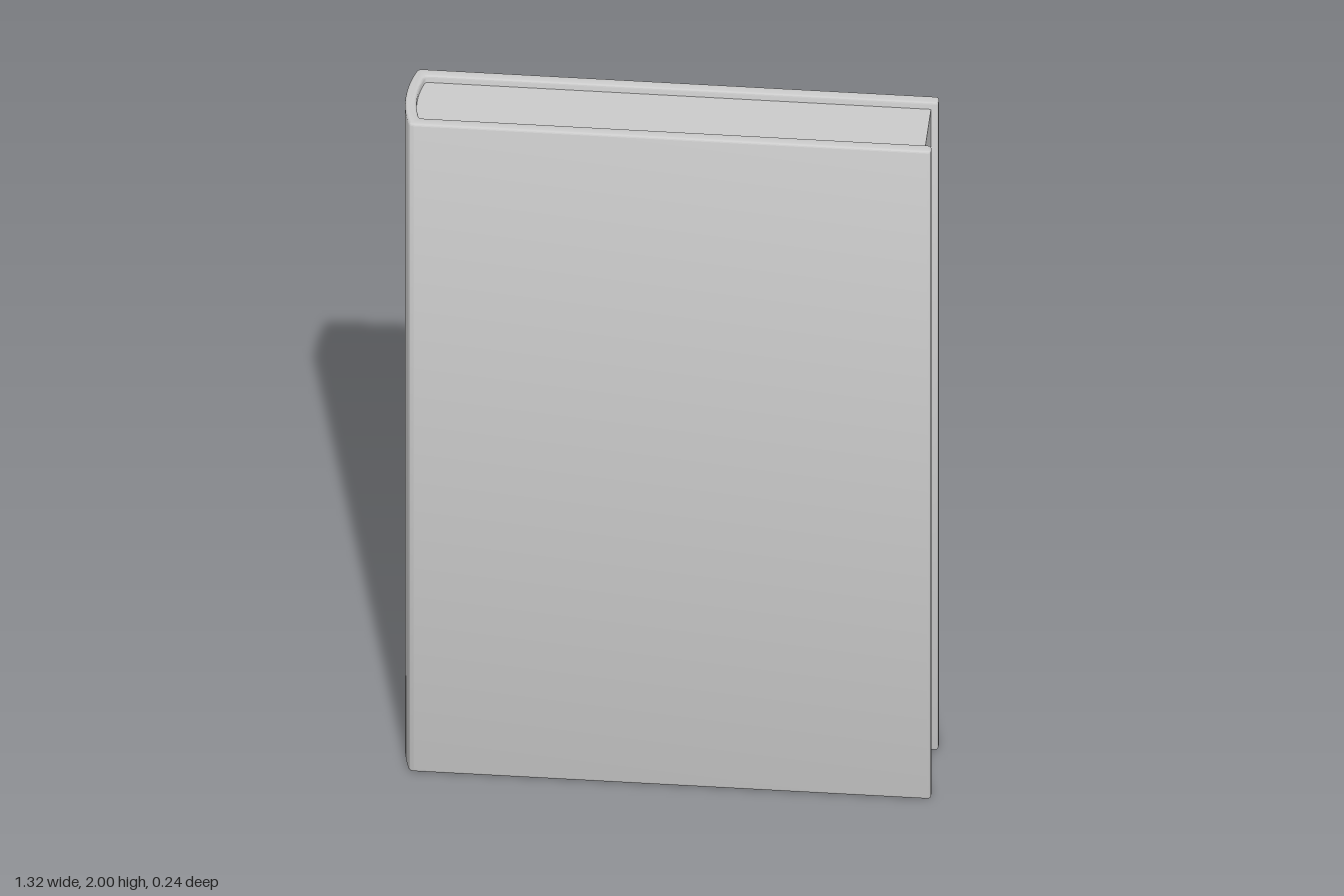
import * as THREE from 'three';
import { toCreasedNormals } from 'three/addons/utils/BufferGeometryUtils.js';

const HEIGHT = 2, OUT = 0.118, IN = 0.088, EDGE = 0.661, R = 0.01;

// Extrudes a plan outline (x, z) upward from y0 to y1 with an inward bevel
function extrudeUp(shape, y0, y1, bevel) {
  const geometry = new THREE.ExtrudeGeometry(shape, {
    depth: y1 - y0 - 2 * bevel,
    curveSegments: 12,
    bevelEnabled: bevel > 0,
    bevelThickness: bevel,
    bevelSize: bevel,
    bevelOffset: -bevel,
    bevelSegments: 3,
  });
  geometry.rotateX(-Math.PI / 2).translate(0, y0 + bevel, 0);
  return toCreasedNormals(geometry, 0.6);
}

// Hardback case: two boards joined by a bowed spine, as one C-shaped outline
function coverShape() {
  const s = new THREE.Shape();
  s.moveTo(-0.63, -OUT);
  s.lineTo(EDGE - R, -OUT);
  s.quadraticCurveTo(EDGE, -OUT, EDGE, -OUT + R);
  s.lineTo(EDGE, -IN - R);
  s.quadraticCurveTo(EDGE, -IN, EDGE - R, -IN);
  s.lineTo(-0.612, -IN);
  s.quadraticCurveTo(-0.621, -IN, -0.623, -IN + R);
  s.quadraticCurveTo(-0.644, 0, -0.623, IN - R);
  s.quadraticCurveTo(-0.621, IN, -0.612, IN);
  s.lineTo(EDGE - R, IN);
  s.quadraticCurveTo(EDGE, IN, EDGE, IN + R);
  s.lineTo(EDGE, OUT - R);
  s.quadraticCurveTo(EDGE, OUT, EDGE - R, OUT);
  s.lineTo(-0.63, OUT);
  s.quadraticCurveTo(-0.642, OUT, -0.645, OUT - R);
  s.quadraticCurveTo(-0.679, 0, -0.645, -OUT + R);
  s.quadraticCurveTo(-0.642, -OUT, -0.63, -OUT);
  return s;
}

// Page block: flat fore edge, rounded back that seats in the spine
function pagesShape() {
  const half = IN + 0.002;
  const s = new THREE.Shape();
  s.moveTo(-0.622, -half);
  s.lineTo(0.643, -half);
  s.lineTo(0.643, half);
  s.lineTo(-0.622, half);
  s.quadraticCurveTo(-0.648, 0, -0.622, -half);
  return s;
}

export function createModel() {
  const book = new THREE.Group();
  book.name = 'book';
  const material = new THREE.MeshStandardMaterial({ color: 0xcccccc });

  const cover = new THREE.Mesh(extrudeUp(coverShape(), 0, HEIGHT, 0.006), material);
  cover.name = 'cover';

  const pages = new THREE.Mesh(extrudeUp(pagesShape(), 0.02, HEIGHT - 0.02, 0), material);
  pages.name = 'pages';

  book.add(cover, pages);
  return book;
}
